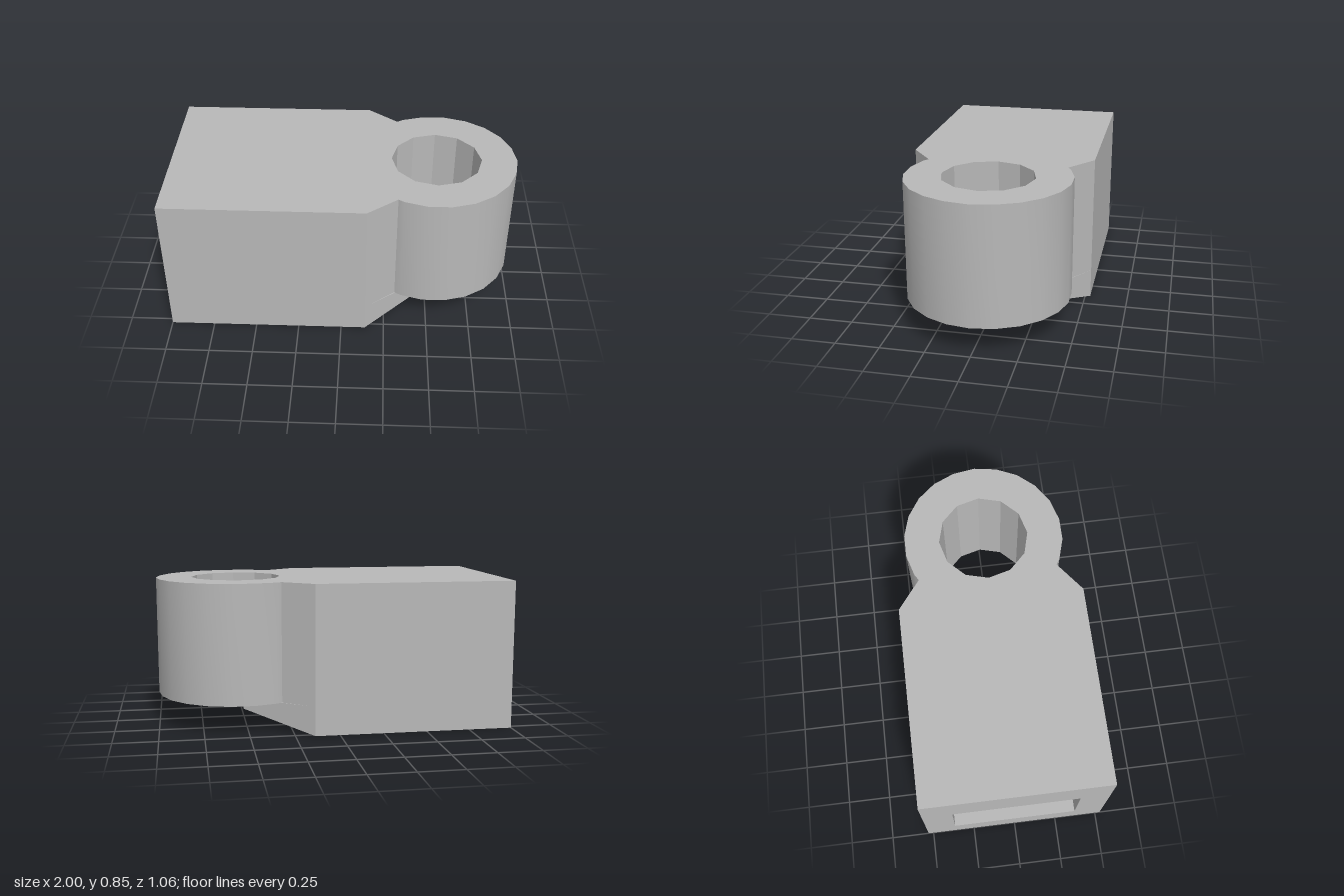
import * as THREE from 'three';
import { toCreasedNormals } from 'three/addons/utils/BufferGeometryUtils.js';

const HEIGHT = 0.85, HALF_WIDTH = 0.53, NECK_X = 0.14;
const RING_X = 0.535, RING_BASE = 0.168;

// Closed shape from the +z half of a plan outline, mirrored across z = 0
function mirroredShape(half) {
  const other = half.slice().reverse().map(([x, z]) => [x, -z]);
  return new THREE.Shape([...half, ...other].map(([x, z]) => new THREE.Vector2(x, z)));
}

// Extrude a plan shape upwards between two heights
function extrudeUp(shape, y0, y1) {
  return new THREE.ExtrudeGeometry(shape, { depth: y1 - y0, bevelEnabled: false, steps: 1 })
    .rotateX(-Math.PI / 2)
    .translate(0, y0, 0);
}

function rectPoints(halfW, y0, y1) {
  return [[-halfW, y0], [halfW, y0], [halfW, y1], [-halfW, y1]]
    .map(([x, y]) => new THREE.Vector2(x, y));
}

export function createModel() {
  const model = new THREE.Group();
  model.name = 'hingeBlock';
  const grey = new THREE.MeshStandardMaterial({ color: 0xb8b8b8 });
  grey.name = 'grey';

  const add = (name, geometry) => {
    const mesh = new THREE.Mesh(toCreasedNormals(geometry, 0.45), grey);
    mesh.name = name;
    model.add(mesh);
  };

  // Block with a rectangular socket open at the -x end
  const section = new THREE.Shape(rectPoints(HALF_WIDTH, 0, HEIGHT));
  section.holes.push(new THREE.Path(rectPoints(0.36, 0.16, 0.57)));
  add('socketBlock', new THREE.ExtrudeGeometry(section, { depth: NECK_X + 1, bevelEnabled: false })
    .rotateY(Math.PI / 2)
    .translate(-1, 0, 0));

  // Tapered neck running into the 22-sided ring
  const half = [[NECK_X, HALF_WIDTH], [0.31, 0.4]];
  for (let k = 7; k >= 1; k--) {
    const a = (k / 22) * Math.PI * 2;
    half.push([RING_X + 0.463 * Math.cos(a), 0.463 * Math.sin(a)]);
  }
  const ring = mirroredShape([...half, [1, 0]]);
  const bore = [];
  for (let k = 0; k < 12; k++) {
    const a = (k / 12) * Math.PI * 2;
    bore.push(new THREE.Vector2(RING_X + 0.26 * Math.cos(a), 0.26 * Math.sin(a)));
  }
  ring.holes.push(new THREE.Path(bore));
  add('neckAndRing', extrudeUp(ring, RING_BASE, HEIGHT));

  // Wedge under the neck, its underside rising towards the tip
  const wedge = extrudeUp(
    mirroredShape([[NECK_X, HALF_WIDTH], [0.52, 0.253], [0.487, 0.238]]), 0, RING_BASE);
  const pos = wedge.attributes.position;
  for (let i = 0; i < pos.count; i++) {
    if (pos.getY(i) < 0.01) pos.setY(i, (pos.getX(i) - NECK_X) * 0.28);
  }
  add('underWedge', wedge);

  return model;
}
